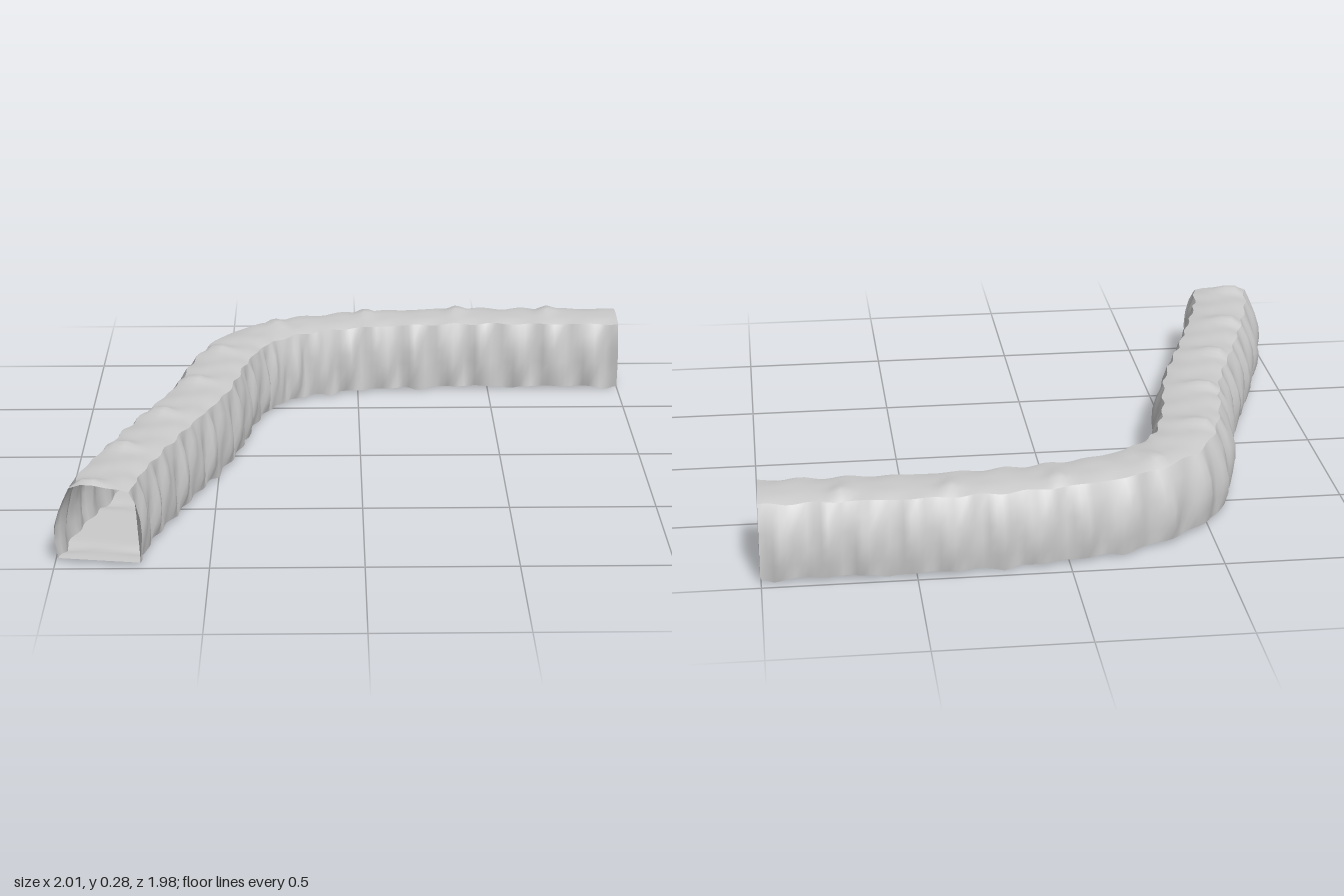
import * as THREE from 'three';

const STATIONS = 140;

// centre line on the ground, from the front opening to the side opening (x, z)
const path = new THREE.CatmullRomCurve3([
  [-0.855, 0.96], [-0.83, 0.8], [-0.71, 0.4], [-0.575, 0], [-0.505, -0.35], [-0.42, -0.57],
  [-0.25, -0.72], [0, -0.8], [0.4, -0.84], [0.7, -0.835], [1, -0.83],
].map(([x, z]) => new THREE.Vector3(x, 0, z)), false, 'centripetal');

// cross-sections: u is the offset toward the outside of the bend, y is height
const outerProfile = [[0.132, 0.012], [0.138, 0.06], [0.138, 0.11], [0.129, 0.16], [0.113, 0.21], [0.09, 0.254]];
const roofProfile = [[0.09, 0.254], [0.055, 0.262], [0.015, 0.264], [-0.03, 0.264], [-0.07, 0.262], [-0.107, 0.255]];
const innerProfile = [[-0.107, 0.255], [-0.121, 0.21], [-0.13, 0.16], [-0.134, 0.11], [-0.134, 0.06], [-0.13, 0.012]];
const floorProfile = [[-0.13, 0.012], [-0.04, 0.012], [0.04, 0.012], [0.132, 0.012]];

// rocky bulges, strongest half way up the walls
function wallBump(s, y, phase) {
  const bell = Math.sin(Math.PI * Math.min(1, (y + 0.05) / 0.34));
  return bell * (0.011 * Math.sin(s * 46 + phase + 5 * y) + 0.006 * Math.sin(s * 71 + 2 * phase - 14 * y));
}

const rules = {
  outer: (s, u, y) => [u + wallBump(s, y, 0.6), y],
  inner: (s, u, y) => [u - wallBump(s, y, 2.1), y],
  roof: (s, u, y) => {
    // isolated humps rise out of an almost level roof
    const hump = Math.pow(Math.max(0, Math.sin(s * 18 + 1)), 6) * Math.exp(-(((u - 0.04) / 0.05) ** 2));
    return [u, y + 0.02 * hump + 0.002 * Math.sin(s * 37 + u * 30)];
  },
  floor: (s, u, y) => {
    const dip = Math.pow(Math.max(0, Math.sin(s * 17)), 8);
    return [u, y - 0.012 * dip * Math.min(1, Math.abs(u) / 0.13)];
  },
};

// keeps the top and bottom edges of neighbouring strips joined
function edgePoint(s, u, y) {
  if (y < 0.05) return rules.floor(s, u + (u > 0 ? 1 : -1) * 0.006 * Math.sin(s * 46 + 1), y);
  const side = u > 0 ? 1 : -1;
  return [u + side * 0.005 * Math.sin(s * 46 + 2 * side), y + 0.003 * Math.sin(s * 37 + side)];
}

// sweeps one open profile along the centre line
function sweep(name, profile, rule, material) {
  const positions = [], indices = [], n = profile.length;
  const length = path.getLength();
  for (let i = 0; i <= STATIONS; i++) {
    const t = i / STATIONS, s = t * length;
    const c = path.getPointAt(t), d = path.getTangentAt(t);
    profile.forEach(([pu, py], j) => {
      const [u, y] = j === 0 || j === n - 1 ? edgePoint(s, pu, py) : rule(s, pu, py);
      positions.push(c.x + d.z * u, y, c.z - d.x * u);
      if (i < STATIONS && j < n - 1) {
        const a = i * n + j, b = a + 1, e = a + n, f = e + 1;
        indices.push(a, b, e, b, f, e);
      }
    });
  }
  const geometry = new THREE.BufferGeometry();
  geometry.setAttribute('position', new THREE.Float32BufferAttribute(positions, 3));
  geometry.setIndex(indices);
  geometry.computeVertexNormals();
  const mesh = new THREE.Mesh(geometry, material);
  mesh.name = name;
  return mesh;
}

export function createModel() {
  const group = new THREE.Group();
  group.name = 'caveTunnel';
  const rock = new THREE.MeshStandardMaterial({ color: 0xcccccc, side: THREE.DoubleSide });
  // both ends stay open
  group.add(
    sweep('outerWall', outerProfile, rules.outer, rock),
    sweep('roof', roofProfile, rules.roof, rock),
    sweep('innerWall', innerProfile, rules.inner, rock),
    sweep('floor', floorProfile, rules.floor, rock),
  );
  return group;
}
